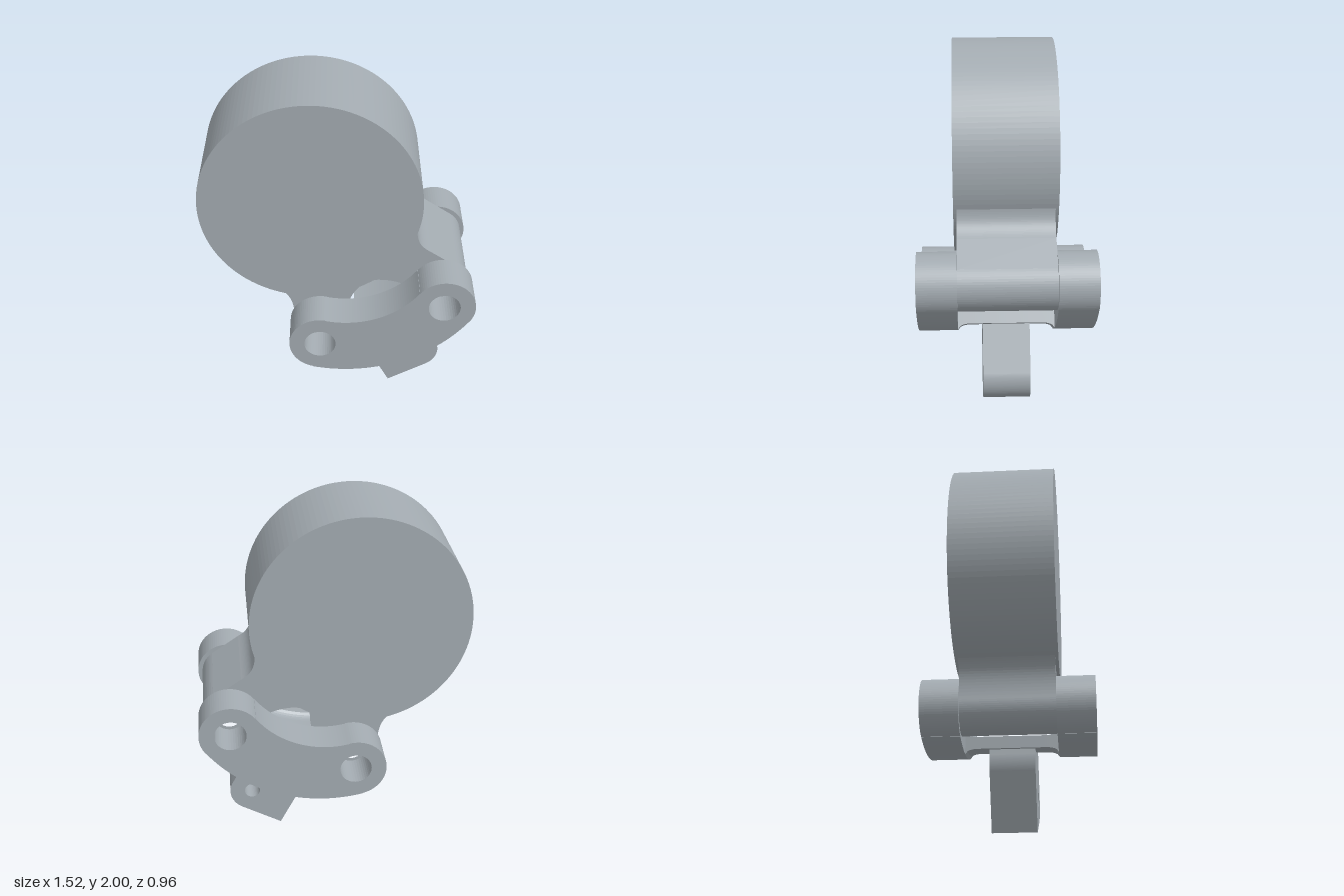
import * as THREE from 'three';

const grey = new THREE.MeshStandardMaterial({ color: 0xa3abb1 });
grey.name = 'grey metal';

const PIVOTS = [[-0.105, 0.59], [0.583, 0.848]];
const ARC = { x: 0.04, y: 1.24, r: 0.668 }; // centreline of the curved links
const A0 = Math.atan2(PIVOTS[0][1] - ARC.y, PIVOTS[0][0] - ARC.x);
const A1 = Math.atan2(PIVOTS[1][1] - ARC.y, PIVOTS[1][0] - ARC.x);
const HALF = 0.265; // half width between the links

function addHole(shape, x, y, r) {
  shape.holes.push(new THREE.Path().absarc(x, y, r, 0, Math.PI * 2, true));
}

function slab(name, shape, z0, z1, curveSegments = 20, steps = 1) {
  const geo = new THREE.ExtrudeGeometry(shape, { depth: z1 - z0, bevelEnabled: false, curveSegments, steps });
  geo.translate(0, 0, z0);
  const mesh = new THREE.Mesh(geo, grey);
  mesh.name = name;
  return mesh;
}

// Curved slot outline with round ends
function linkShape() {
  const w = 0.172;
  const s = new THREE.Shape();
  s.absarc(ARC.x, ARC.y, ARC.r + w, A0, A1, false);
  s.absarc(...PIVOTS[1], w, A1, A1 + Math.PI, false);
  s.absarc(ARC.x, ARC.y, ARC.r - w, A1, A0, true);
  s.absarc(...PIVOTS[0], w, A0 + Math.PI, A0 + Math.PI * 2, false);
  for (const p of PIVOTS) addHole(s, p[0], p[1], 0.088);
  return s;
}

// Bracket joining the drum to the two bored barrels
function bracketShape() {
  const r = 0.147;
  const s = new THREE.Shape();
  s.moveTo(0.3, 1.35);
  s.lineTo(0.43, 1.23);
  s.bezierCurveTo(0.43, 1.15, 0.45, 1.11, 0.51, 1.075);
  s.lineTo(PIVOTS[1][0] + r * 0.58, PIVOTS[1][1] + r * 0.815);
  s.absarc(...PIVOTS[1], r, 0.95, -2.8, true);
  s.bezierCurveTo(0.38, 0.85, 0.32, 0.88, 0.22, 0.88);
  s.bezierCurveTo(0.12, 0.87, 0.05, 0.77, 0.042, 0.62);
  s.absarc(...PIVOTS[0], r, 0, -Math.PI, true);
  s.bezierCurveTo(-0.25, 0.74, -0.29, 0.81, -0.39, 0.83);
  s.lineTo(-0.3, 1.0);
  s.closePath();
  for (const p of PIVOTS) addHole(s, p[0], p[1], 0.07);
  return s;
}

// Cross web between the links, thickened towards both ends like a fillet
function crossWeb() {
  const a = -1.5, b = -0.99;
  const s = new THREE.Shape();
  s.absarc(ARC.x, ARC.y, 0.81, a, b, false);
  s.absarc(ARC.x, ARC.y, 0.74, b, a, true);
  s.closePath();
  const mesh = slab('crossWeb', s, -HALF, HALF, 12, 40);
  const pos = mesh.geometry.attributes.position;
  for (let i = 0; i < pos.count; i++) {
    const dx = pos.getX(i) - ARC.x, dy = pos.getY(i) - ARC.y;
    const d = Math.hypot(dx, dy);
    const f = Math.min(1, Math.max(0, (Math.abs(pos.getZ(i)) - HALF + 0.07) / 0.07));
    const fillet = 1 - Math.sqrt(1 - f * f);
    const k = (d + (d > 0.775 ? 0.03 : -0.06) * fillet) / d;
    pos.setXY(i, ARC.x + dx * k, ARC.y + dy * k);
  }
  mesh.geometry.computeVertexNormals();
  return mesh;
}

// Lever tab with one rounded corner and a small hole
function tabShape() {
  const s = new THREE.Shape();
  s.moveTo(0.305, 0);
  s.lineTo(0.531, 0.125);
  s.absarc(0.47, 0.24, 0.13, -1.08, 0.49, false);
  s.lineTo(0.447, 0.55);
  s.lineTo(0.3, 0.53);
  s.lineTo(0.12, 0.49);
  s.lineTo(0.118, 0.4);
  s.quadraticCurveTo(0.118, 0.35, 0.14, 0.31);
  s.closePath();
  addHole(s, 0.47, 0.24, 0.045);
  return s;
}

export function createModel() {
  const model = new THREE.Group();
  model.name = 'hingedDrum';

  const disc = new THREE.Shape().absarc(-0.153, 1.39, 0.61, 0, Math.PI * 2, false);
  model.add(slab('drum', disc, -0.283, 0.283, 64));
  model.add(slab('bracket', bracketShape(), -HALF, HALF));

  model.add(slab('frontLink', linkShape(), HALF, 0.48));
  model.add(slab('backLink', linkShape(), -0.48, -HALF));
  model.add(crossWeb());
  model.add(slab('leverTab', tabShape(), -0.13, 0.13));
  return model;
}
